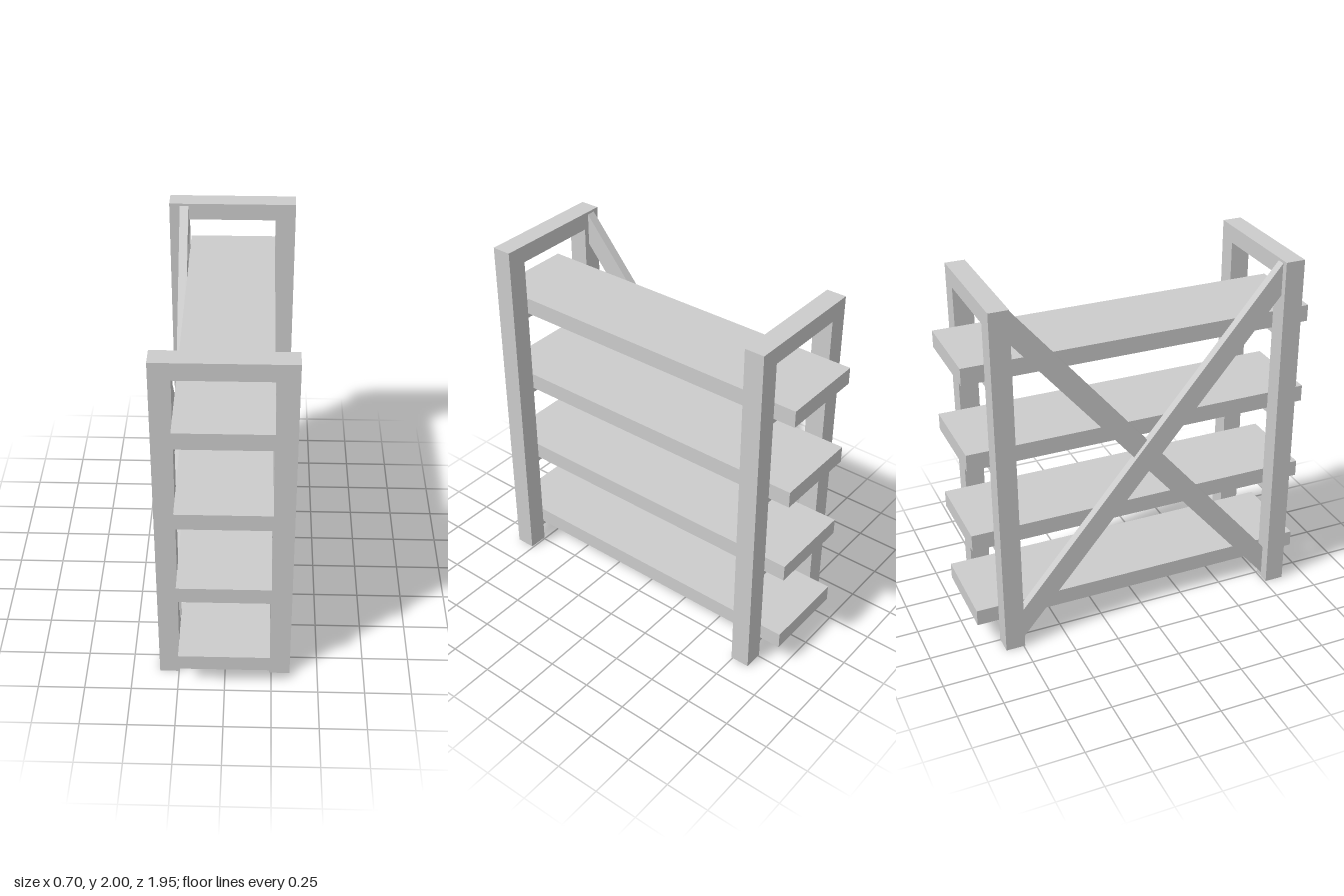
import * as THREE from 'three';

const material = new THREE.MeshStandardMaterial({ color: 0xcccccc, flatShading: true });

// Mesh from a shape extruded by the given depth along +z
function extrude(name, points, depth) {
  const shape = new THREE.Shape(points.map(([x, y]) => new THREE.Vector2(x, y)));
  const geometry = new THREE.ExtrudeGeometry(shape, { depth, bevelEnabled: false });
  const mesh = new THREE.Mesh(geometry, material);
  mesh.name = name;
  return mesh;
}

// Box given by its limits on each axis
function box(name, [x0, x1], [y0, y1], [z0, z1]) {
  const mesh = new THREE.Mesh(new THREE.BoxGeometry(x1 - x0, y1 - y0, z1 - z0), material);
  mesh.position.set((x0 + x1) / 2, (y0 + y1) / 2, (z0 + z1) / 2);
  mesh.name = name;
  return mesh;
}

export function createModel() {
  const group = new THREE.Group();
  group.name = 'shelfRack';

  const outer = [-0.353, 0.35], inner = [-0.245, 0.24];
  const postDepth = 0.108;
  const frames = { front: 0.759, back: -0.85 };

  // End frames: two posts joined by a top rail
  for (const [side, z] of Object.entries(frames)) {
    const frame = extrude(side + 'Frame', [
      [outer[0], 0], [inner[0], 0], [inner[0], 1.905], [inner[1], 1.905],
      [inner[1], 0], [outer[1], 0], [outer[1], 2], [outer[0], 2],
    ], postDepth);
    frame.position.z = z;
    group.add(frame);
  }

  // Shelves, each resting on a cleat between the posts of both frames
  for (let i = 0; i < 4; i++) {
    const y = 0.134 + i * 0.4865;
    group.add(box('shelf' + (i + 1), inner, [y, y + 0.093], [-0.972, 0.975]));
    for (const [side, z] of Object.entries(frames)) {
      group.add(box(side + 'Cleat' + (i + 1), inner, [y - 0.028, y], [z, z + postDepth]));
    }
  }

  // Crossed braces between the frames, cut flush with the posts
  const half = 0.75, rise = 0.89, thick = 0.089;
  const braces = [['outerBrace', 1, -0.273], ['innerBrace', -1, -0.247]];
  for (const [name, dir, x] of braces) {
    const r = dir * rise;
    const brace = extrude(name, [
      [-half, -r - thick], [half, r - thick], [half, r + thick], [-half, -r + thick],
    ], 0.048);
    brace.rotation.y = -Math.PI / 2;
    brace.position.set(x, 1.007, 0.008);
    group.add(brace);
  }

  return group;
}
